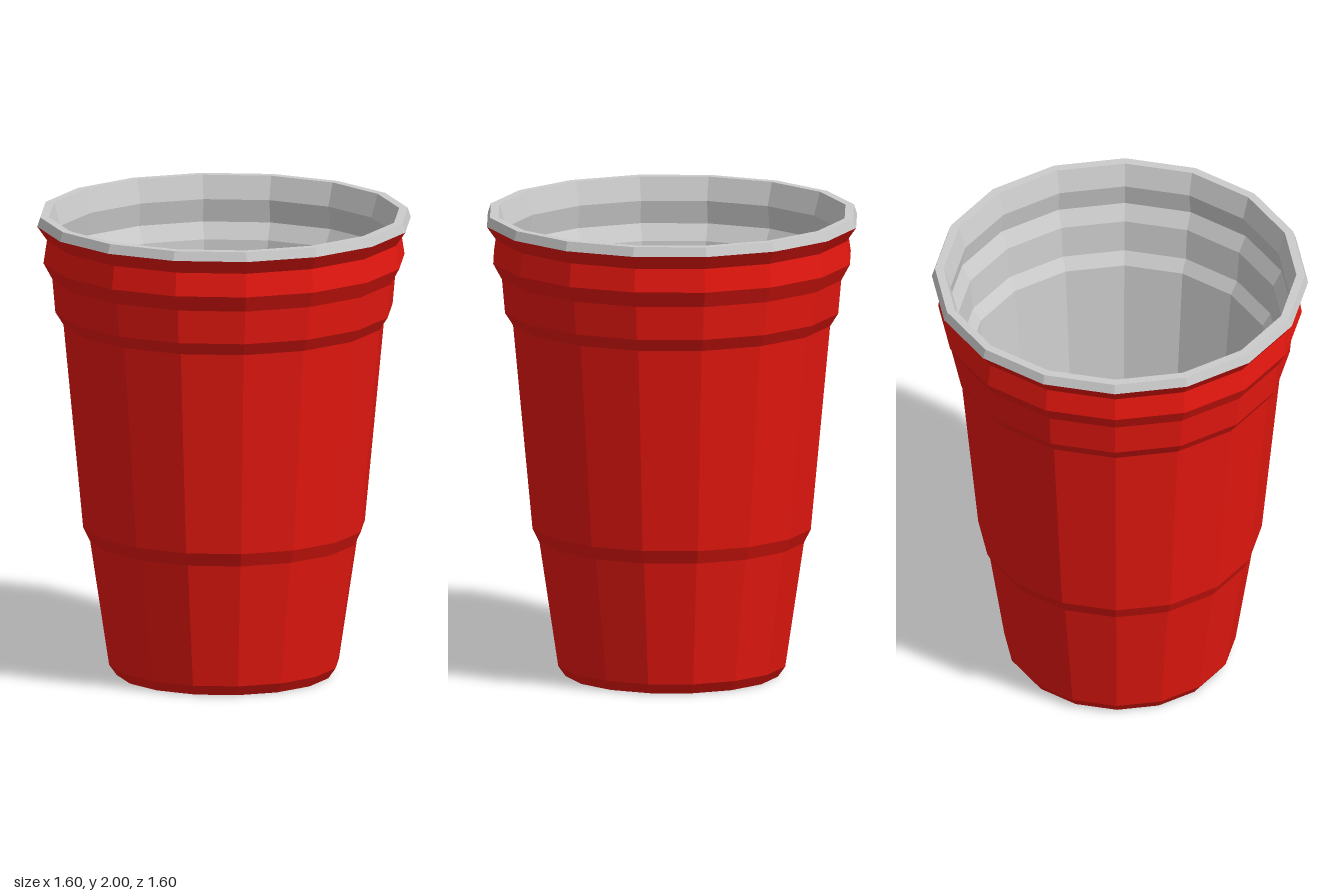
import * as THREE from 'three';

const SIDES = 16;

// Revolve a [radius, height] profile into a faceted surface
function lathe(name, profile, color) {
  const points = profile.map(([r, y]) => new THREE.Vector2(r, y));
  const material = new THREE.MeshStandardMaterial({ color, flatShading: true });
  const mesh = new THREE.Mesh(new THREE.LatheGeometry(points, SIDES), material);
  mesh.name = name;
  return mesh;
}

export function createModel() {
  const cup = new THREE.Group();
  cup.name = 'cup';

  // Stepped outer wall, from the base up to the underside of the rim
  const wall = [
    [0.46, 0], [0.492, 0.045], [0.573, 0.585], [0.603, 0.645],
    [0.687, 1.53], [0.722, 1.585], [0.735, 1.73], [0.773, 1.8],
    [0.758, 1.9], [0.8, 1.96],
  ];
  cup.add(lathe('outerWall', [[0, 0], ...wall], 0xe5170f));

  // Rolled rim
  cup.add(lathe('rim', [[0.8, 1.96], [0.787, 2], [0.75, 2]], 0xcccccc));

  // Inner lining follows the wall steps down to the floor
  const thickness = 0.038;
  const lining = wall.slice(1, -1).reverse().map(([r, y]) => [r - thickness, y]);
  cup.add(lathe('innerLining', [[0.75, 2], ...lining, [0, 0.045]], 0xcccccc));

  return cup;
}
